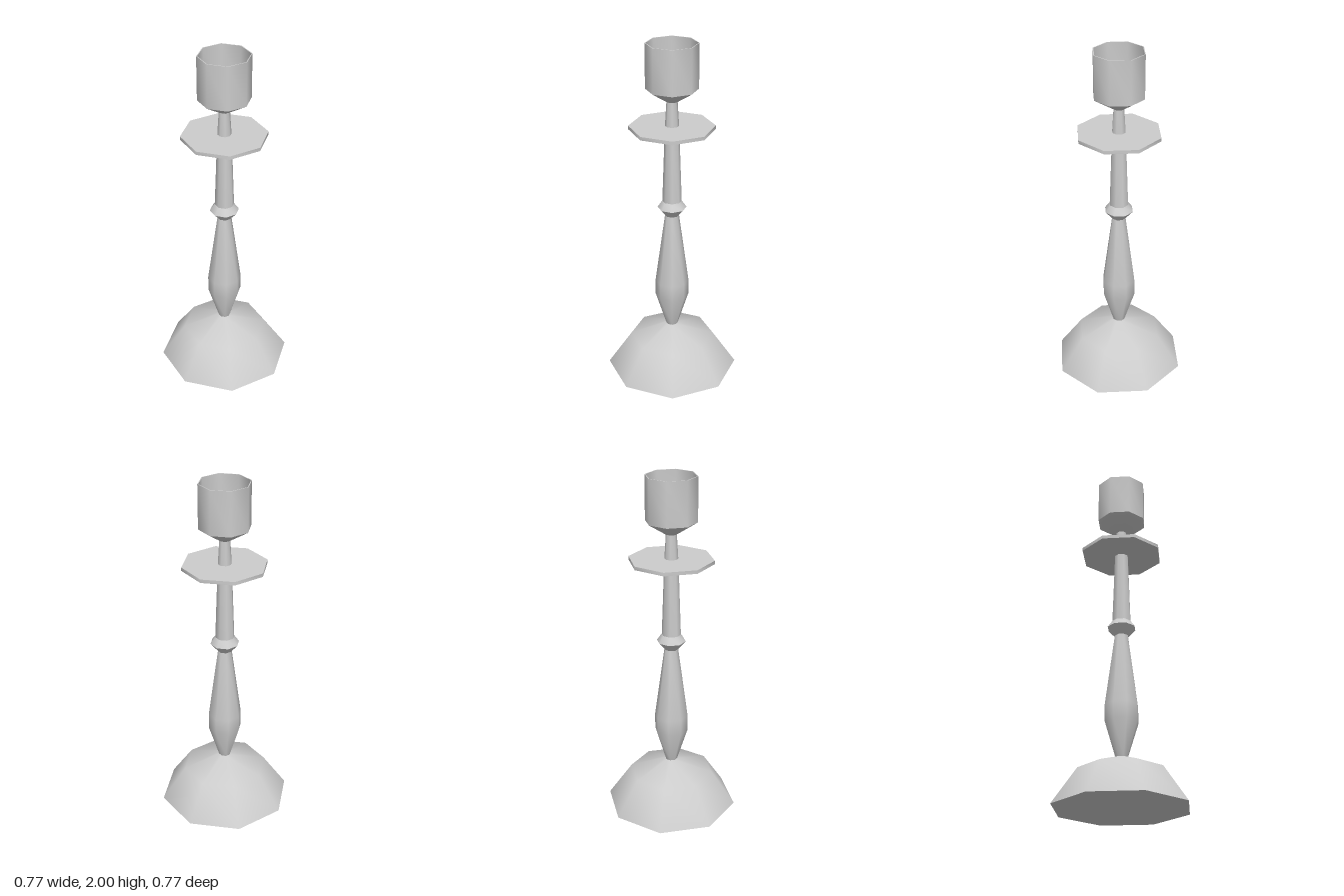
import * as THREE from 'three';
import { toCreasedNormals } from 'three/addons/utils/BufferGeometryUtils.js';

const SIDES = 8;
const material = new THREE.MeshStandardMaterial({ color: 0xcccccc });

// Turn a [radius, height] profile, listed bottom to top, around the y axis.
function turned(name, profile) {
  const points = profile.map(([r, y]) => new THREE.Vector2(r, y));
  const geometry = toCreasedNormals(new THREE.LatheGeometry(points, SIDES), THREE.MathUtils.degToRad(50));
  const mesh = new THREE.Mesh(geometry, material);
  mesh.name = name;
  return mesh;
}

export function createModel() {
  const group = new THREE.Group();
  group.name = 'candlestick';

  group.add(
    // Domed foot with a flat underside
    turned('base', [[0, 0], [0.385, 0], [0.245, 0.205], [0.035, 0.28]]),
    // Swelling lower stem
    turned('lowerStem', [[0.035, 0.28], [0.097, 0.48], [0.097, 0.575], [0.04, 1.0]]),
    // Pointed ring between the two stems
    turned('collar', [[0.04, 1.0], [0.083, 1.05], [0.055, 1.09]]),
    // Tapering upper stem
    turned('upperStem', [[0.055, 1.09], [0.04, 1.52], [0.03, 1.685]]),
    // Thin plate that catches the wax
    turned('dripPan', [[0, 1.52], [0.24, 1.52], [0.24, 1.54], [0, 1.54]]),
    // Hollow cup: outside, rim, inner wall and floor
    turned('candleCup', [
      [0, 1.68], [0.035, 1.68], [0.145, 1.75], [0.145, 2],
      [0.14, 2], [0.14, 1.755], [0, 1.755],
    ]),
  );
  return group;
}
